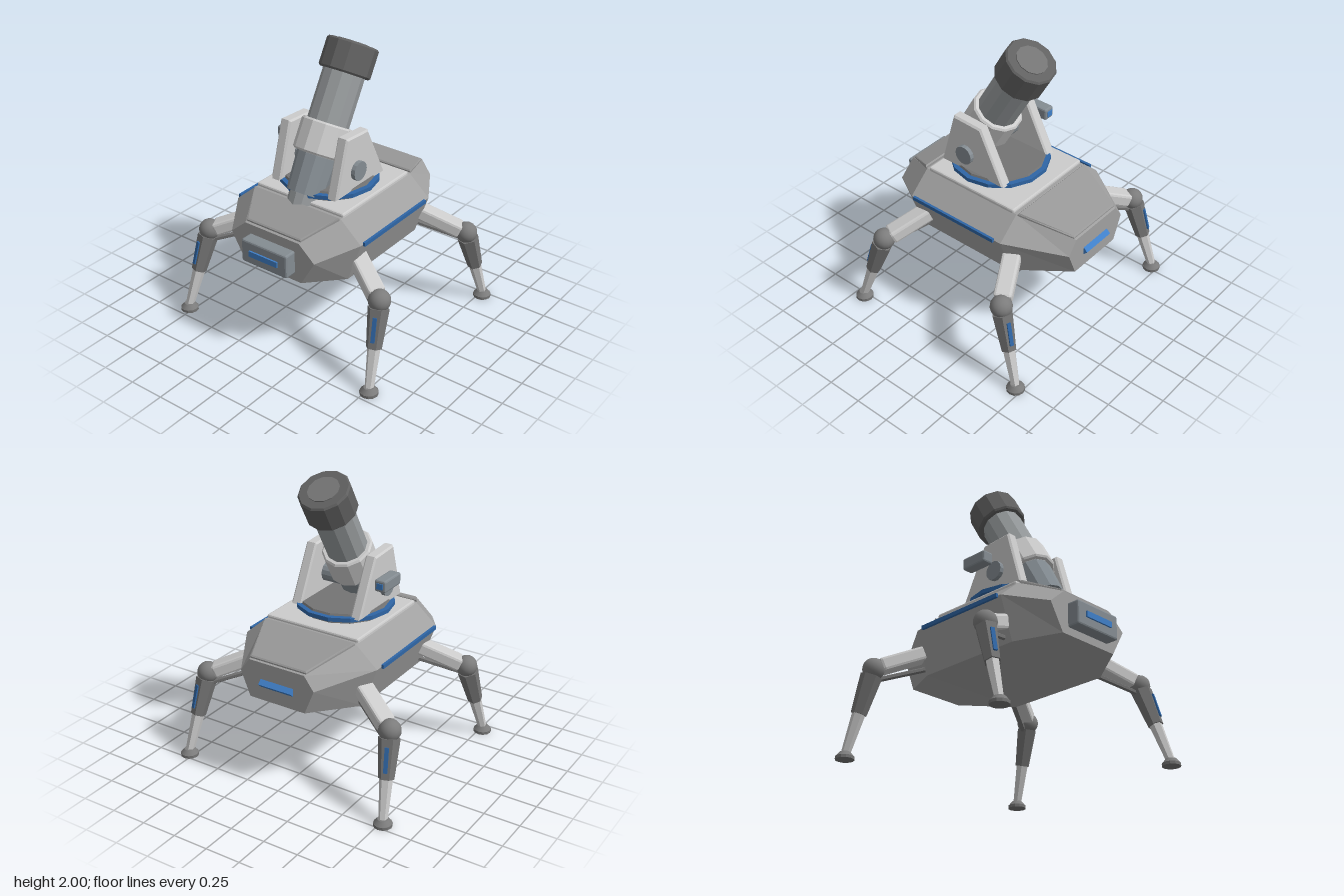
import * as THREE from 'three';
import { RoundedBoxGeometry } from 'three/addons/geometries/RoundedBoxGeometry.js';

const paint = (color, flatShading = true) => new THREE.MeshStandardMaterial({ color, flatShading });
const light = paint(0xbebebe), hullGrey = paint(0xa0a0a0), panelGrey = paint(0x989898);
const steel = paint(0x848c92), tubeGrey = paint(0x969a9c), dark = paint(0x747474);
const black = paint(0x606060), joint = paint(0x7c7c7c, false);
const blue = paint(0x3f7fc8), deepBlue = paint(0x2f66a6);
const V = (x, y, z) => new THREE.Vector3(x, y, z);

function add(parent, name, geometry, position, material) {
  const mesh = new THREE.Mesh(geometry, material);
  mesh.name = name;
  mesh.position.set(...position);
  parent.add(mesh);
  return mesh;
}

const box = (w, h, d, r = 0.012) => new RoundedBoxGeometry(w, h, d, 1, r);

// Faceted cylinder with a corner on the x axis
const drum = (rTop, rBottom, h, sides = 12) =>
  new THREE.CylinderGeometry(rTop, rBottom, h, sides, 1, false, Math.PI / 2);

// Closed solid through rings of equal point count
function loft(rings) {
  const out = [], n = rings[0].length;
  const tri = (...points) => points.forEach(p => out.push(...p));
  for (let i = 0; i < rings.length - 1; i++) {
    for (let j = 0; j < n; j++) {
      const k = (j + 1) % n, a = rings[i], b = rings[i + 1];
      tri(a[j], a[k], b[k]);
      tri(a[j], b[k], b[j]);
    }
  }
  const first = rings[0], last = rings[rings.length - 1];
  for (let j = 1; j < n - 1; j++) {
    tri(first[0], first[j + 1], first[j]);
    tri(last[0], last[j], last[j + 1]);
  }
  const g = new THREE.BufferGeometry();
  g.setAttribute('position', new THREE.Float32BufferAttribute(out, 3));
  g.computeVertexNormals();
  return g;
}

// Six-sided hull section at depth z
const hullRing = (z, topW, topY, midW, midY, lowW, lowY) => [
  [lowW, lowY, z], [midW, midY, z], [topW, topY, z],
  [-topW, topY, z], [-midW, midY, z], [-lowW, lowY, z],
];

// Sloped armour panel lying on the hull, shrinking slightly to its upper face
function panel(zFront, wFront, yFront, zBack, wBack, yBack) {
  const ring = (lift, inset) => [
    [wFront - inset, yFront + lift, zFront - inset], [wBack - inset, yBack + lift, zBack + inset],
    [-wBack + inset, yBack + lift, zBack + inset], [-wFront + inset, yFront + lift, zFront - inset],
  ];
  return loft([ring(-0.02, 0), ring(0.008, 0), ring(0.016, 0.008)]);
}

// Group running along a line: y points from a to b, z faces the outward side
function limb(parent, name, a, b, outward) {
  const g = new THREE.Group();
  const y = b.clone().sub(a).normalize();
  const x = y.clone().cross(outward).normalize();
  const z = x.clone().cross(y);
  g.quaternion.setFromRotationMatrix(new THREE.Matrix4().makeBasis(x, y, z));
  g.position.copy(a);
  g.name = name;
  parent.add(g);
  return { g, length: a.distanceTo(b) };
}

function hexRod(rStart, rEnd, h) {
  return new THREE.CylinderGeometry(rEnd, rStart, h, 6, 1, false, Math.PI / 6);
}

function buildLeg(parent, name, sx, hip, knee, foot) {
  const leg = new THREE.Group();
  leg.name = name;
  parent.add(leg);
  [hip, knee, foot].forEach(p => { p.x *= sx; });

  // Upper arm, the thin strut under it and the knee ball
  const arm = limb(leg, 'upperLeg', hip, knee, V(0, 1, 0));
  const armLength = arm.length - 0.045;
  add(arm.g, 'upperLegBeam', box(0.12, armLength, 0.095, 0.018), [0, armLength / 2, 0], light);
  const strut = limb(leg, 'strut', hip.clone().add(V(-0.02 * sx, -0.1, 0)),
    knee.clone().lerp(foot, 0.13).add(V(-0.02 * sx, 0, 0)), V(0, 1, 0));
  add(strut.g, 'strutRod', new THREE.CylinderGeometry(0.018, 0.018, strut.length, 6), [0, strut.length / 2, 0], dark);
  add(leg, 'knee', new THREE.SphereGeometry(0.074, 16, 12), knee.toArray(), joint);

  // Shin: armoured upper half, slim lower half, light strip on the outside
  const outward = V(foot.x - knee.x, 0, foot.z - knee.z);
  const { g: shin, length: L } = limb(leg, 'shin', knee, foot, outward);
  add(shin, 'upperShin', hexRod(0.072, 0.052, L * 0.45), [0, L * 0.305, 0], dark);
  add(shin, 'lowerShin', hexRod(0.045, 0.03, L * 0.5), [0, L * 0.73, 0], light);
  const strip = add(shin, 'shinLight', new THREE.BoxGeometry(0.026, 0.165, 0.016), [0, L * 0.31, 0.056], deepBlue);
  strip.rotation.x = -0.06;

  // Foot pad
  add(leg, 'footPad', new THREE.CylinderGeometry(0.062, 0.062, 0.02, 12), [foot.x, 0.01, foot.z], dark);
  add(leg, 'footDome', new THREE.CylinderGeometry(0.036, 0.06, 0.03, 12), [foot.x, 0.035, foot.z], joint);
}

export function createModel() {
  const model = new THREE.Group();
  model.name = 'walkingMortar';

  // Hull
  add(model, 'hull', loft([
    hullRing(-0.735, 0.21, 0.905, 0.28, 0.81, 0.21, 0.64),
    hullRing(-0.36, 0.35, 1.005, 0.51, 0.865, 0.41, 0.58),
    hullRing(0.41, 0.35, 1.005, 0.51, 0.865, 0.41, 0.58),
    hullRing(0.67, 0.22, 0.9, 0.34, 0.795, 0.235, 0.615),
  ]), [0, 0, 0], hullGrey);
  add(model, 'deckPlate', box(0.71, 0.04, 0.73), [0, 1.008, 0.025], light);
  add(model, 'frontPanel', panel(0.655, 0.222, 0.908, 0.42, 0.35, 1.003), [0, 0, 0], panelGrey);
  add(model, 'rearPanel', panel(-0.37, 0.35, 1.003, -0.72, 0.215, 0.91), [0, 0, 0], panelGrey);

  // Nose box and lights; the rear light is a ridge with its edge outwards
  add(model, 'noseBox', box(0.37, 0.165, 0.13), [0, 0.75, 0.69], steel);
  add(model, 'noseLight', new THREE.BoxGeometry(0.23, 0.04, 0.02), [0, 0.75, 0.757], blue);
  const rearLight = add(model, 'rearLight', new THREE.CylinderGeometry(0.028, 0.028, 0.25, 4), [0, 0.76, -0.735], blue);
  rearLight.rotation.z = Math.PI / 2;
  for (const s of [-1, 1]) {
    add(model, 'sideLight', new THREE.BoxGeometry(0.018, 0.026, 0.69), [0.516 * s, 0.866, 0.04], deepBlue);
  }

  // Turntable
  const zc = 0.065;
  add(model, 'turntableBase', drum(0.29, 0.3, 0.05, 14), [0, 1.045, zc], dark);
  add(model, 'turntableRing', drum(0.335, 0.335, 0.028, 14), [0, 1.067, zc], deepBlue);
  add(model, 'turntableTop', drum(0.295, 0.305, 0.02, 14), [0, 1.084, zc], dark);

  // Yoke plates, drawn in the side plane and extruded along x
  const b = 0.012;
  const outline = new THREE.Shape([[-0.333, 1.08], [0.165, 1.08], [-0.015, 1.438], [-0.225, 1.45]]
    .map(([x, y]) => new THREE.Vector2(x, y)));
  for (const s of [-1, 1]) {
    const g = new THREE.ExtrudeGeometry(outline,
      { depth: 0.08 - 2 * b, bevelEnabled: true, bevelThickness: b, bevelSize: b, bevelSegments: 1 });
    g.translate(0, 0, b - 0.04);
    g.rotateY(Math.PI / 2);
    add(model, 'yokePlate', g, [0.23 * s, 0, 0], light);
  }
  const trunnion = add(model, 'trunnion', new THREE.CylinderGeometry(0.066, 0.066, 0.6, 14), [0, 1.21, 0.13], steel);
  trunnion.rotation.z = Math.PI / 2;

  // Sight box beside the yoke
  add(model, 'sightBox', box(0.082, 0.082, 0.2), [-0.347, 1.292, 0.03], steel);
  add(model, 'sightLens', new THREE.BoxGeometry(0.045, 0.04, 0.01), [-0.347, 1.292, -0.071], blue);

  // Barrel, measured back from the muzzle along a 30 degree tilt
  const barrel = new THREE.Group();
  barrel.name = 'barrel';
  barrel.position.set(0, 1.915, -0.19);
  barrel.rotation.x = -Math.PI / 6;
  model.add(barrel);
  const section = (name, material, from, to, rTop, rBottom = rTop) =>
    add(barrel, name, drum(rTop, rBottom, to - from), [0, -(from + to) / 2, 0], material);
  section('muzzleFace', dark, -0.006, 0.02, 0.107);
  section('muzzleRim', black, 0, 0.012, 0.164, 0.175);
  section('muzzleCap', black, 0.012, 0.192, 0.175);
  section('muzzleHem', black, 0.192, 0.204, 0.175, 0.164);
  section('tube', tubeGrey, 0.2, 0.76, 0.141);
  section('sleeveRim', light, 0.54, 0.552, 0.163, 0.174);
  section('sleeve', light, 0.552, 0.744, 0.174);
  section('sleeveHem', light, 0.744, 0.756, 0.174, 0.163);
  section('breech', steel, 0.756, 1.02, 0.141, 0.13);
  section('breechKnob', tubeGrey, 1.02, 1.15, 0.11, 0.1);

  // Legs
  for (const s of [-1, 1]) {
    const side = s > 0 ? 'Left' : 'Right';
    buildLeg(model, 'front' + side + 'Leg', s, V(0.41, 0.735, 0.33), V(0.715, 0.585, 0.49), V(0.775, 0.03, 0.672));
    buildLeg(model, 'rear' + side + 'Leg', s, V(0.41, 0.735, -0.38), V(0.715, 0.585, -0.54), V(0.775, 0.03, -0.708));
  }
  return model;
}
